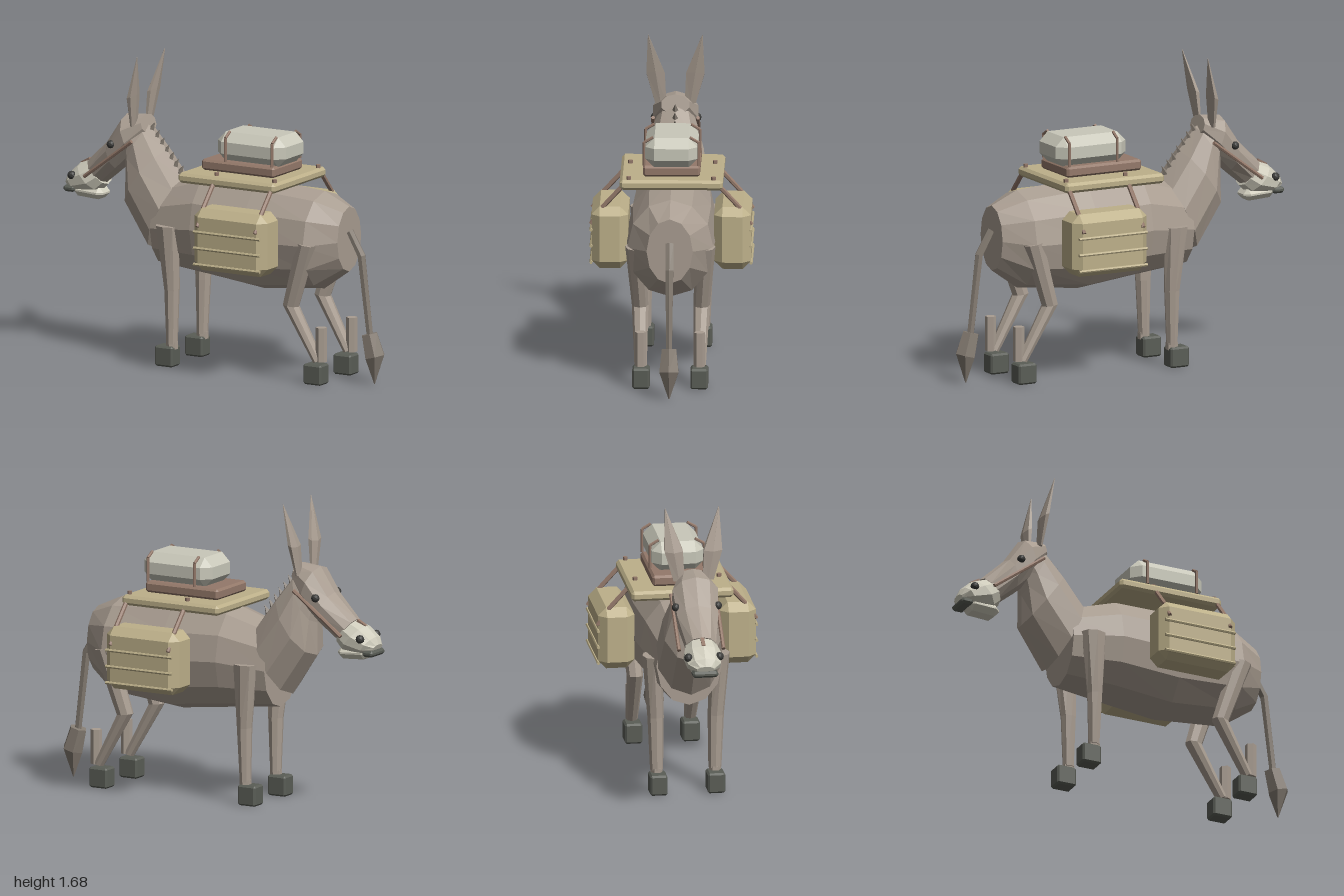
import * as THREE from 'three';
import { ConvexGeometry } from 'three/addons/geometries/ConvexGeometry.js';

const mat = (color) => new THREE.MeshStandardMaterial({ color, flatShading: true });
const M = {
  hide: mat(0xa99d91), muzzle: mat(0xcfccbc), dark: mat(0x5a5d56), tail: mat(0x857c72),
  tan: mat(0xbdb08a), wood: mat(0x94796a), cloth: mat(0xc9c8ba), black: mat(0x3a3a38),
};

// Skin over elliptical sections [x1, y1, x2, y2, halfWidthZ, centreZ]
function loft(sections, n) {
  const pos = [], idx = [];
  for (const [x1, y1, x2, y2, w, zc = 0] of sections) {
    for (let j = 0; j < n; j++) {
      const a = (j / n) * Math.PI * 2, c = (1 + Math.cos(a)) / 2;
      pos.push(x1 + (x2 - x1) * c, y1 + (y2 - y1) * c, zc + w * Math.sin(a));
    }
  }
  const mid = (s) => [(s[0] + s[2]) / 2, (s[1] + s[3]) / 2];
  const A = sections[0], p = mid(A), q = mid(sections[1]);
  const flip = (A[3] - A[1]) * (q[0] - p[0]) - (A[2] - A[0]) * (q[1] - p[1]) < 0;
  const tri = (a, b, c) => (flip ? idx.push(a, c, b) : idx.push(a, b, c));
  const last = (sections.length - 1) * n;
  for (let i = 0; i < last; i += n) {
    for (let j = 0; j < n; j++) {
      const k = (j + 1) % n;
      tri(i + j, i + k, i + n + k);
      tri(i + j, i + n + k, i + n + j);
    }
  }
  for (let j = 1; j < n - 1; j++) {
    tri(0, j + 1, j);
    tri(last, last + j, last + j + 1);
  }
  const g = new THREE.BufferGeometry();
  g.setAttribute('position', new THREE.Float32BufferAttribute(pos, 3));
  g.setIndex(idx);
  g.computeVertexNormals();
  return g;
}

// Box with all edges and corners cut by c
function chamferBox(w, h, d, c) {
  const pts = [];
  for (const x of [-1, 1]) for (const y of [-1, 1]) for (const z of [-1, 1]) {
    const X = w / 2, Y = h / 2, Z = d / 2;
    pts.push(new THREE.Vector3(x * X, y * (Y - c), z * (Z - c)),
      new THREE.Vector3(x * (X - c), y * Y, z * (Z - c)),
      new THREE.Vector3(x * (X - c), y * (Y - c), z * Z));
  }
  return new ConvexGeometry(pts);
}

export function createModel() {
  const model = new THREE.Group();
  const add = (name, geo, material, x = 0, y = 0, z = 0) => {
    const m = new THREE.Mesh(geo, material);
    m.name = name;
    m.position.set(x, y, z);
    model.add(m);
    return m;
  };
  const rod = (name, a, b, r, material) => {
    const A = new THREE.Vector3(...a), B = new THREE.Vector3(...b);
    const m = add(name, new THREE.CylinderGeometry(r, r, A.distanceTo(B), 6), material);
    m.position.copy(A).add(B).multiplyScalar(0.5);
    m.quaternion.setFromUnitVectors(new THREE.Vector3(0, 1, 0), B.sub(A).normalize());
  };

  // Body, neck and head
  add('body', loft([
    [-0.38, 0.53, -0.38, 0.98, 0.18], [-0.1, 0.5, -0.1, 1.07, 0.23], [0.24, 0.46, 0.24, 1.07, 0.245],
    [0.62, 0.5, 0.62, 1.04, 0.235], [0.775, 0.61, 0.775, 0.97, 0.126],
  ], 12), M.hide);
  add('neck', loft([
    [-0.455, 0.61, -0.26, 1.0, 0.18], [-0.61, 0.84, -0.38, 1.16, 0.165],
    [-0.61, 1.02, -0.48, 1.28, 0.12], [-0.62, 1.13, -0.54, 1.31, 0.09],
  ], 10), M.hide);
  add('head', loft([
    [-0.48, 1.24, -0.51, 1.345, 0.08], [-0.55, 1.12, -0.63, 1.335, 0.13],
    [-0.66, 1.02, -0.72, 1.2, 0.118], [-0.77, 0.93, -0.86, 1.065, 0.085],
  ], 10), M.hide);
  add('muzzle', loft([
    [-0.75, 0.93, -0.84, 1.065, 0.085], [-0.79, 0.89, -0.92, 1.035, 0.105],
    [-0.91, 0.88, -0.98, 0.98, 0.095], [-0.98, 0.9, -0.998, 0.94, 0.05],
  ], 10), M.muzzle);
  add('lowerJaw', chamferBox(0.19, 0.07, 0.13, 0.03), M.muzzle, -0.855, 0.885).rotation.z = -0.06;
  add('mouth', chamferBox(0.07, 0.035, 0.14, 0.012), M.dark, -0.963, 0.893);
  add('noseBand', new THREE.BoxGeometry(0.06, 0.015, 0.02), M.wood, -0.89, 1.045).rotation.z = 0.5;

  // Mane tufts down the back of the neck
  for (let i = 0; i < 7; i++) {
    const t = i / 6;
    const m = add('maneTuft', new THREE.ConeGeometry(0.025, 0.07, 4), M.tail,
      -0.47 + 0.18 * t, 1.275 - 0.22 * t - 0.02 * t * (1 - t));
    m.rotation.z = -0.5;
  }

  for (const s of [1, -1]) {
    add('eye', new THREE.IcosahedronGeometry(0.023, 1), M.black, -0.665, 1.18, s * 0.115);
    add('nostril', new THREE.IcosahedronGeometry(0.024, 1), M.black, -0.93, 0.975, s * 0.085);
    rod('bridleStrap', [-0.83, 0.985, s * 0.122], [-0.53, 1.21, s * 0.122], 0.011, M.wood);
    add('ear', loft([
      [-0.55, 1.29, -0.53, 1.29, 0.035, s * 0.08], [-0.55, 1.45, -0.505, 1.47, 0.058, s * 0.108],
      [-0.482, 1.685, -0.478, 1.685, 0.002, s * 0.147],
    ], 6), M.hide);

    // Legs and hooves
    add('frontLeg', loft([
      [-0.335, 0.785, -0.19, 0.785, 0.055, s * 0.185], [-0.29, 0.43, -0.205, 0.43, 0.045, s * 0.165],
      [-0.28, 0.13, -0.22, 0.13, 0.036, s * 0.16],
    ], 8), M.hide);
    add('hindLeg', loft([
      [0.56, 0.79, 0.68, 0.77, 0.055, s * 0.19], [0.46, 0.43, 0.555, 0.42, 0.045, s * 0.167],
      [0.65, 0.12, 0.7, 0.14, 0.034, s * 0.16],
    ], 8), M.hide);
    rod('hindPastern', [0.695, 0.13, s * 0.16], [0.695, 0.32, s * 0.16], 0.031, M.hide);
    rod('frontPastern', [-0.25, 0.1, s * 0.16], [-0.25, 0.14, s * 0.16], 0.033, M.hide);
    for (const x of [-0.28, 0.66]) add('hoof', chamferBox(0.113, 0.113, 0.095, 0.01), M.dark, x, 0.06, s * 0.158);

    // Side chests with slats and hanging straps
    add('sideChest', chamferBox(0.46, 0.345, 0.2, 0.045), M.tan, 0.26, 0.785, s * 0.333);
    for (const y of [0.65, 0.74, 0.83]) {
      rod('chestSlat', [0.05, y, s * 0.434], [0.47, y, s * 0.434], 0.009, M.tan);
    }
    for (const x of [0.075, 0.44]) {
      rod('hangingStrap', [x, 1.07, s * 0.265], [x, 0.95, s * 0.375], 0.013, M.wood);
      rod('chestStrap', [x, 0.95, s * 0.375], [x, 0.86, s * 0.437], 0.011, M.wood);
      add('boardPeg', new THREE.CylinderGeometry(0.013, 0.013, 0.03, 6), M.wood, x, 1.11, s * 0.23);
    }
    for (const x of [0.08, 0.375]) {
      rod('bundleCord', [x, 1.17, s * 0.148], [x, 1.3, s * 0.148], 0.008, M.wood);
      rod('bundleCord', [x, 1.3, s * 0.148], [x, 1.328, s * 0.1], 0.008, M.wood);
    }
  }

  // Tail and tuft
  add('tail', loft([
    [0.765, 0.82, 0.795, 0.845, 0.025], [0.83, 0.7, 0.875, 0.71, 0.025], [0.885, 0.27, 0.925, 0.28, 0.018],
  ], 6), M.tail);
  add('tailTuft', loft([
    [0.855, 0.265, 0.95, 0.29, 0.045], [0.88, 0.14, 0.995, 0.17, 0.06], [0.932, 0.005, 0.938, 0.005, 0.003],
  ], 6), M.tail);

  // Load on the back
  add('packBoard', chamferBox(0.61, 0.055, 0.56, 0.015), M.tan, 0.16, 1.08);
  add('packBlanket', chamferBox(0.46, 0.06, 0.31, 0.012), M.wood, 0.16, 1.14);
  add('packBundle', chamferBox(0.43, 0.165, 0.285, 0.05), M.cloth, 0.215, 1.243);
  return model;
}
